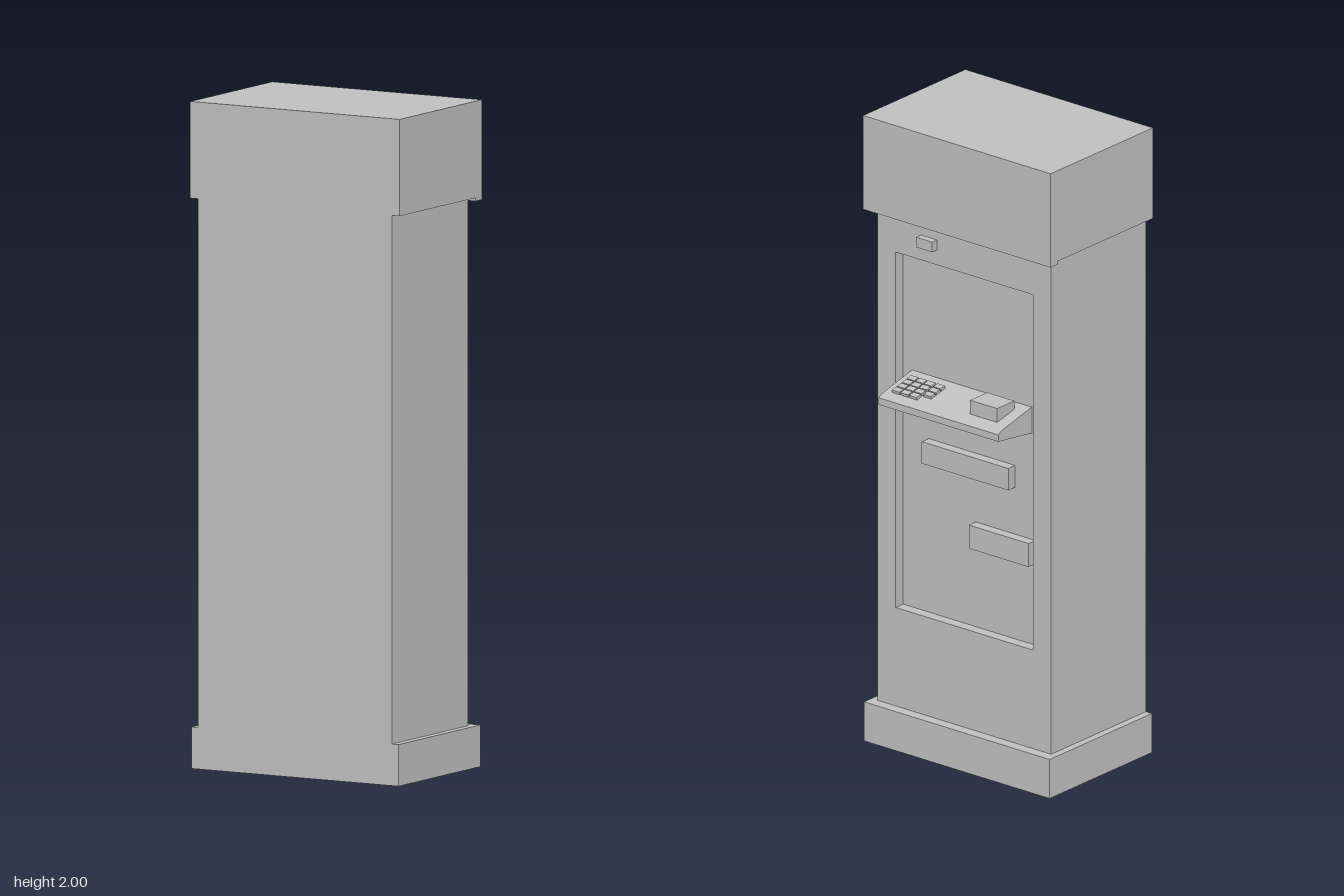
import * as THREE from 'three';

export function createModel() {
  const group = new THREE.Group();
  const grey = new THREE.MeshStandardMaterial({ color: 0xbfbfbf, side: THREE.DoubleSide });
  grey.name = 'light grey';

  const add = (name, geometry, parent = group) => {
    const mesh = new THREE.Mesh(geometry, grey);
    mesh.name = name;
    parent.add(mesh);
    return mesh;
  };
  // Box given by its limits on each axis
  const box = (name, x0, x1, y0, y1, z0, z1) => {
    const g = new THREE.BoxGeometry(x1 - x0, y1 - y0, z1 - z0);
    return add(name, g.translate((x0 + x1) / 2, (y0 + y1) / 2, (z0 + z1) / 2));
  };
  const rect = (Type, w, y0, y1) => {
    const r = new Type();
    r.moveTo(-w, y0).lineTo(w, y0).lineTo(w, y1).lineTo(-w, y1).closePath();
    return r;
  };

  // Cabinet with a framed recess on the working side (-z)
  box('cabinet', -0.335, 0.335, 0.125, 1.71, -0.125, 0.28);
  const frame = rect(THREE.Shape, 0.335, 0.125, 1.71);
  frame.holes.push(rect(THREE.Path, 0.265, 0.44, 1.577));
  add('recessFrame', new THREE.ExtrudeGeometry(frame, { depth: 0.035, bevelEnabled: false })
    .translate(0, 0, -0.16));

  // Header with a slightly lower front lip
  box('header', -0.362, 0.362, 1.71, 2, -0.195, 0.28);
  box('headerLip', -0.362, 0.362, 1.7, 1.71, -0.195, -0.16);

  // Hollow plinth, open underneath
  const plinth = box('plinth', -0.358, 0.358, 0, 0.125, -0.195, 0.28).geometry;
  const index = Array.from(plinth.index.array);
  index.splice(18, 6);
  plinth.setIndex(index);
  plinth.clearGroups();

  // Sloping shelf, drawn in profile and extruded across the width
  const profile = new THREE.Shape([[0.125, 1.115], [0.28, 1.135], [0.28, 1.157], [0.27, 1.165],
    [0.16, 1.19], [0.125, 1.198]].map(([a, y]) => new THREE.Vector2(a, y)));
  add('shelf', new THREE.ExtrudeGeometry(profile, { depth: 0.462, bevelEnabled: false })
    .rotateY(Math.PI / 2).translate(-0.231, 0, 0));

  // Keypad: three columns of number keys and one of command keys
  const keypad = new THREE.Group();
  keypad.name = 'keypad';
  group.add(keypad);
  const keyShape = new THREE.BoxGeometry(0.029, 0.012, 0.02);
  [0.089, 0.125, 0.158, 0.191].forEach((x, col) => {
    for (let row = col === 0 ? 1 : 0; row < 4; row++) {
      const z = -0.238 + row * 0.023;
      const key = add('key', keyShape, keypad);
      key.position.set(x, 1.19 + (z + 0.16) * 0.227 + 0.003, z);
      key.rotation.x = -Math.atan(0.227);
    }
  });

  // Card reader, slots and camera
  box('cardReader', -0.19, -0.085, 1.16, 1.217, -0.236, -0.156);
  box('cashSlot', -0.167, 0.167, 0.925, 0.995, -0.157, -0.12);
  box('receiptSlot', -0.245, -0.015, 0.7, 0.775, -0.157, -0.12);
  box('camera', 0.105, 0.167, 1.625, 1.657, -0.183, -0.155);

  return group;
}
